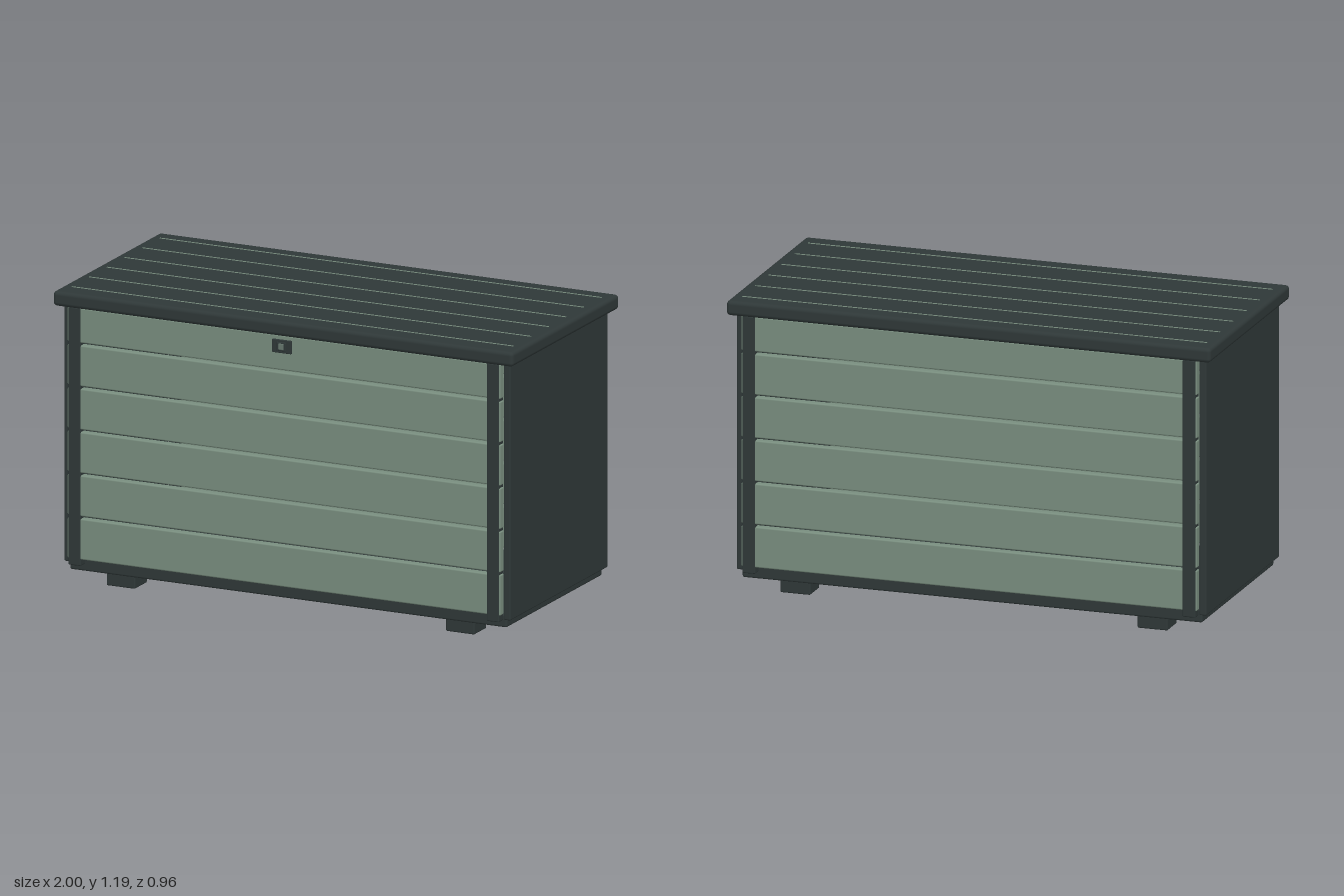
import * as THREE from 'three';
import { RoundedBoxGeometry } from 'three/addons/geometries/RoundedBoxGeometry.js';

const darkGrey = new THREE.MeshStandardMaterial({ color: 0x2f3838 });
darkGrey.name = 'dark grey';
const sageGreen = new THREE.MeshStandardMaterial({ color: 0x798e7f });
sageGreen.name = 'sage green';
const latchGrey = new THREE.MeshStandardMaterial({ color: 0x66776e });
latchGrey.name = 'latch grey';

// Rounded box given by its limits on each axis
function block(name, material, [x0, x1], [y0, y1], [z0, z1], radius) {
  const geometry = new RoundedBoxGeometry(x1 - x0, y1 - y0, z1 - z0, 2, radius);
  const mesh = new THREE.Mesh(geometry, material);
  mesh.position.set((x0 + x1) / 2, (y0 + y1) / 2, (z0 + z1) / 2);
  mesh.name = name;
  return mesh;
}

export function createModel() {
  const model = new THREE.Group();
  model.name = 'storageBox';
  const midZ = -0.007; // body centre; the latch sticks out in front

  // Base tray
  model.add(block('base', darkGrey, [-0.95, 0.95], [0.052, 0.105], [midZ - 0.421, midZ + 0.421], 0.008));

  // Feet, side panels and corner posts
  for (const sx of [-1, 1]) {
    const span = (a, b) => (sx > 0 ? [a, b] : [-b, -a]);
    model.add(block('sidePanel', darkGrey, span(0.94, 0.97), [0.085, 1.127], [midZ - 0.43, midZ + 0.43], 0.006));
    for (const sz of [-1, 1]) {
      const depth = (a, b) => (sz > 0 ? [midZ + a, midZ + b] : [midZ - b, midZ - a]);
      model.add(block('foot', darkGrey, span(0.675, 0.8), [0.005 - 0.005, 0.058], depth(0.293, 0.402), 0.006));
      model.add(block('cornerPost', darkGrey, span(0.882, 0.936), [0.082, 1.127], depth(0.42, 0.462), 0.005));
    }
  }

  // Horizontal slats on the front and back, with open gaps between them
  const pitch = 0.1755;
  for (const sz of [-1, 1]) {
    const wall = new THREE.Group();
    wall.name = sz > 0 ? 'frontWall' : 'backWall';
    for (let i = 0; i < 6; i++) {
      const bottom = 0.108 + i * pitch;
      const top = i === 5 ? 1.127 : bottom + pitch - 0.01;
      const z = midZ + sz * 0.443;
      wall.add(block('slat', sageGreen, [-0.941, 0.941], [bottom, top], [z - 0.017, z + 0.017], 0.006));
    }
    model.add(wall);
  }

  // Lid with thin plank lines
  const lid = new THREE.Group();
  lid.name = 'lid';
  lid.add(block('lidPanel', darkGrey, [-1, 1], [1.124, 1.184], [midZ - 0.471, midZ + 0.471], 0.016));
  for (let i = 0; i < 6; i++) {
    const line = new THREE.Mesh(new THREE.BoxGeometry(1.92, 0.004, 0.005), sageGreen);
    line.position.set(0, 1.184, -0.4 + i * 0.155);
    line.name = 'plankLine';
    lid.add(line);
  }
  model.add(lid);

  // Latch on the front
  const latch = new THREE.Group();
  latch.name = 'latch';
  latch.add(block('latchPlate', darkGrey, [-0.042, 0.042], [1.06, 1.114], [0.464, 0.473], 0.003));
  latch.add(block('latchBody', darkGrey, [-0.02, 0.02], [1.069, 1.105], [0.468, 0.477], 0.003));
  latch.add(block('latchButton', latchGrey, [-0.012, 0.012], [1.074, 1.1], [0.47, 0.479], 0.003));
  model.add(latch);

  return model;
}
